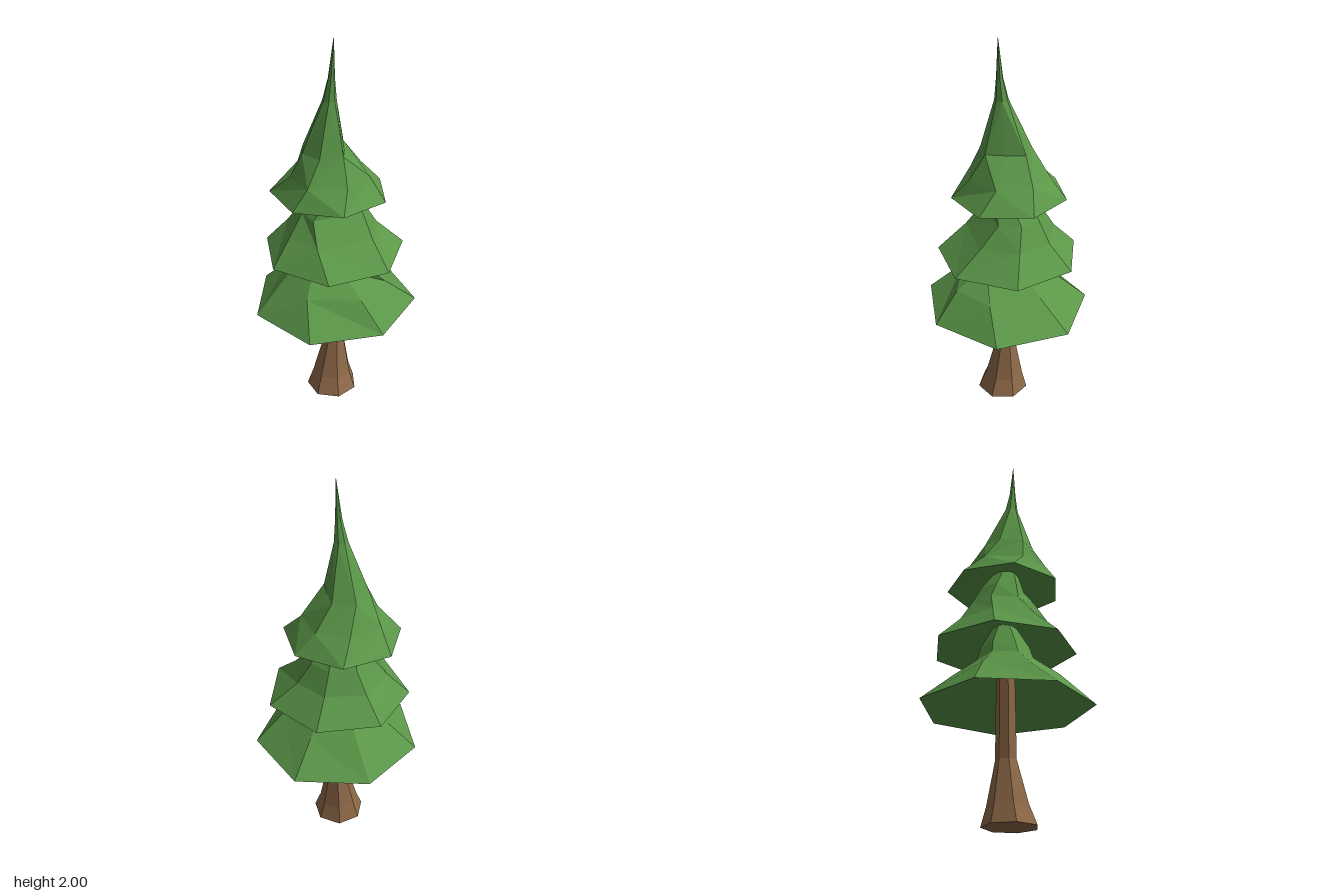
import * as THREE from 'three';

const SIDES = 7;

// Ring of points at height y from explicit [x, z] corners
const corners = (y, pts) => pts.map(([x, z]) => [x, y, z]);

// Ring around an off-centre axis, corners turned to a start angle (radians)
const ring = (y, cx, cz, r, start) => Array.from({ length: SIDES }, (_, i) => {
  const a = start + (i / SIDES) * Math.PI * 2;
  return [cx + r * Math.cos(a), y, cz + r * Math.sin(a)];
});

// Faceted skin through a stack of rings, in order
function loft(rings, capBottom = false) {
  const v = [];
  for (let k = 0; k < rings.length - 1; k++) {
    for (let i = 0; i < SIDES; i++) {
      const j = (i + 1) % SIDES;
      const a = rings[k][i], b = rings[k][j], c = rings[k + 1][j], d = rings[k + 1][i];
      // alternate the diagonal for an irregular, hand-cut look
      if ((i + k) % 2) v.push(...a, ...d, ...c, ...a, ...c, ...b);
      else v.push(...a, ...d, ...b, ...b, ...d, ...c);
    }
  }
  if (capBottom) {
    const r = rings[0];
    for (let i = 1; i < SIDES - 1; i++) v.push(...r[0], ...r[i], ...r[i + 1]);
  }
  const g = new THREE.BufferGeometry();
  g.setAttribute('position', new THREE.Float32BufferAttribute(v, 3));
  g.computeVertexNormals();
  return g;
}

export function createModel() {
  const tree = new THREE.Group();
  tree.name = 'pineTree';

  const bark = new THREE.MeshStandardMaterial({ color: 0x8f6a48, flatShading: true });
  bark.name = 'bark brown';
  const needles = new THREE.MeshStandardMaterial({ color: 0x5a9648, flatShading: true });
  needles.name = 'needle green';

  const add = (name, geometry, material) => {
    const m = new THREE.Mesh(geometry, material);
    m.name = name;
    tree.add(m);
  };

  // Trunk with a flared foot
  add('trunk', loft([
    ring(0.005, -0.01, 0.02, 0.137, 0.34),
    ring(0.1, -0.015, 0.015, 0.104, 0.34),
    ring(0.32, -0.015, 0.0, 0.054, 0.34),
    ring(0.58, -0.017, 0.0, 0.051, 0.34),
    ring(0.74, -0.018, 0.0, 0.049, 0.34),
  ], true), bark);

  // Each skirt starts at its hollow underside, turns at the rim and climbs
  add('lowerBranches', loft([
    ring(0.73, -0.018, 0.0, 0.045, -1.85),
    corners(0.58, [[-0.12, -0.425], [0.25, -0.34], [0.405, 0], [0.256, 0.342],
      [-0.11, 0.423], [-0.4, 0.19], [-0.408, -0.184]]),
    corners(0.72, [[-0.065, -0.25], [0.19, -0.18], [0.26, 0.03], [0.1, 0.25],
      [-0.115, 0.26], [-0.275, 0.11], [-0.26, -0.115]]),
    corners(0.81, [[-0.03, -0.14], [0.15, -0.09], [0.085, 0.03], [0.015, 0.155],
      [-0.1, 0.165], [-0.18, 0.07], [-0.16, -0.06]]),
    ring(0.88, -0.035, 0.01, 0.125, -1.65),
    ring(1.0, -0.03, 0.0, 0.06, -1.65),
  ]), needles);

  // Middle skirt
  add('middleBranches', loft([
    ring(1.0, -0.03, 0.0, 0.055, -2.0),
    corners(0.88, [[-0.19, -0.335], [0.13, -0.34], [0.33, -0.085], [0.258, 0.227],
      [-0.03, 0.362], [-0.313, 0.224], [-0.387, -0.087]]),
    corners(1.0, [[-0.135, -0.22], [0.045, -0.225], [0.19, -0.09], [0.11, 0.19],
      [-0.065, 0.24], [-0.24, 0.135], [-0.27, -0.065]]),
    corners(1.11, [[-0.11, -0.16], [0.0, -0.17], [0.09, -0.1], [0.025, 0.155],
      [-0.08, 0.15], [-0.19, 0.07], [-0.2, -0.06]]),
    ring(1.2, -0.05, 0.0, 0.115, -1.95),
    ring(1.31, -0.03, 0.01, 0.06, -1.95),
  ]), needles);

  // Top skirt, drawn out to a thin leaning tip
  add('topBranches', loft([
    ring(1.3, -0.03, 0.01, 0.055, -1.6),
    corners(1.21, [[0, -0.278], [0.222, -0.139], [0.23, 0.118], [0.046, 0.288],
      [-0.213, 0.256], [-0.338, 0.03], [-0.243, -0.204]]),
    corners(1.315, [[-0.05, -0.19], [0.115, -0.12], [0.165, 0.05], [0.06, 0.208],
      [-0.1, 0.205], [-0.235, 0.07], [-0.2, -0.11]]),
    corners(1.445, [[-0.07, -0.096], [0.015, -0.04], [0.09, 0.02], [0.05, 0.13],
      [-0.055, 0.16], [-0.15, 0.09], [-0.155, -0.02]]),
    ring(1.7, -0.01, 0.03, 0.035, -2.0),
    ring(1.81, 0.002, 0.027, 0.017, -2.0),
    ring(2.0, 0.014, 0.022, 0.001, -2.0),
  ]), needles);

  return tree;
}
